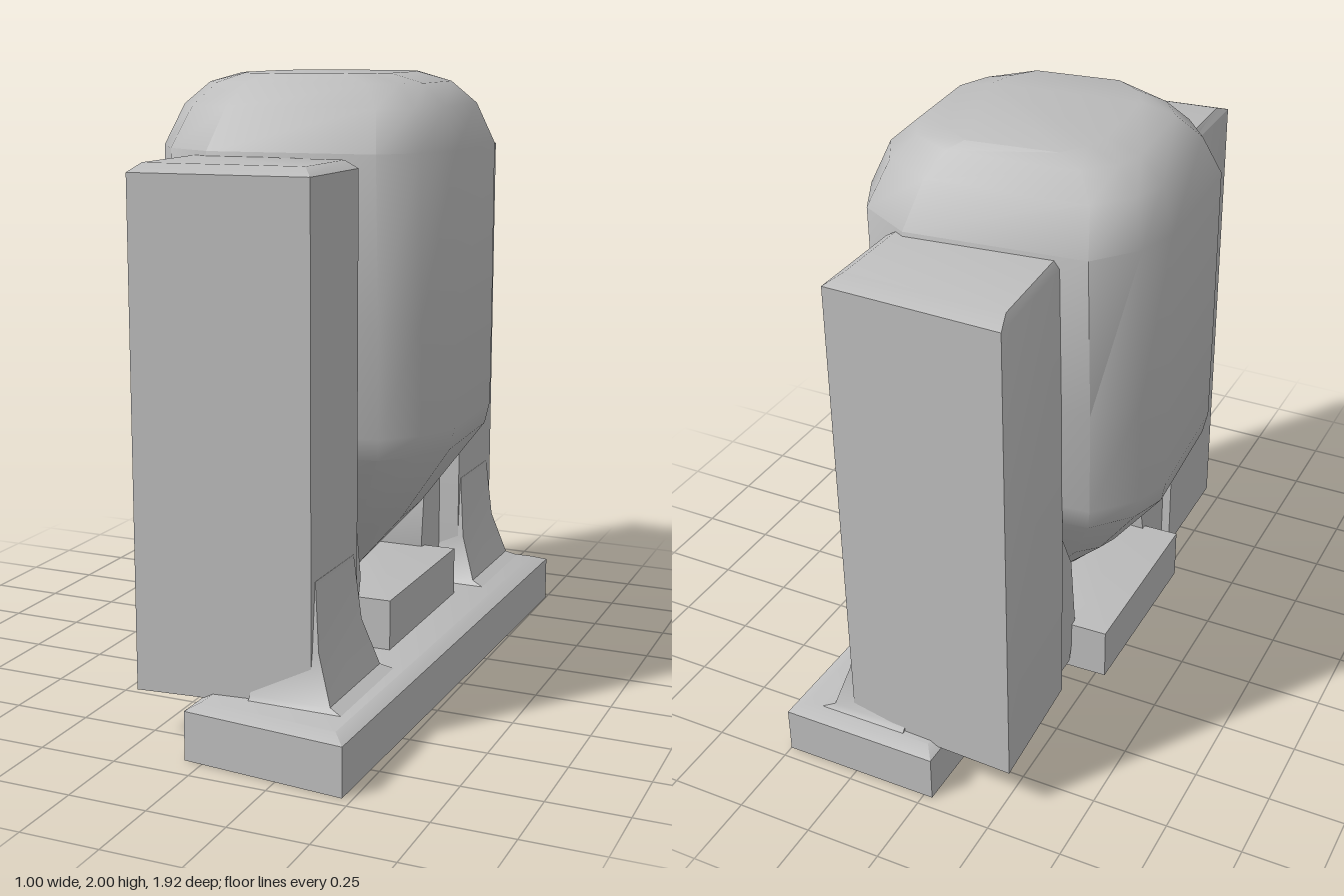
import * as THREE from 'three';
import { toCreasedNormals } from 'three/addons/utils/BufferGeometryUtils.js';

// Skin a stack of equal-length rings (anticlockwise seen from above), with caps
function loft(rings, crease = 0.6) {
  const n = rings[0].length, pos = [], idx = [];
  rings.forEach(r => r.forEach(p => pos.push(...p)));
  for (let k = 0; k < rings.length - 1; k++) {
    for (let i = 0; i < n; i++) {
      const a = k * n + i, b = k * n + (i + 1) % n;
      idx.push(a, b, b + n, a, b + n, a + n);
    }
  }
  const top = (rings.length - 1) * n;
  for (let i = 1; i < n - 1; i++) {
    idx.push(0, i + 1, i);
    idx.push(top, top + i, top + i + 1);
  }
  const g = new THREE.BufferGeometry();
  g.setAttribute('position', new THREE.Float32BufferAttribute(pos, 3));
  g.setIndex(idx);
  return toCreasedNormals(g, crease);
}

// Place a plan outline at height y, scaled about (cx, cz)
const ring = (plan, y, sx = 1, sz = sx, cx = 0, cz = 0) =>
  plan.map(([x, z]) => [cx + (x - cx) * sx, y, cz + (z - cz) * sz]);

export function createModel() {
  const model = new THREE.Group();
  const grey = new THREE.MeshStandardMaterial({ color: 0xbcbcbc });
  grey.name = 'stone grey';
  const add = (name, geometry) => {
    const mesh = new THREE.Mesh(geometry, grey);
    mesh.name = name;
    model.add(mesh);
    return mesh;
  };

  // Long offset base slab
  const slab = [[0.47, 0.96], [0.5, -0.96], [-0.03, -0.96], [-0.06, 0.91]];
  add('base', loft([ring(slab, 0), ring(slab, 0.155), ring(slab, 0.175, 0.85, 0.95, 0.2, 0)]));

  // Low pedestal under the tank
  const block = [[0.33, 0.24], [0.33, -0.38], [-0.36, -0.36], [-0.36, 0.26]];
  add('pedestal', loft([ring(block, 0.165), ring(block, 0.34), ring(block, 0.365, 0.4, 0.4, 0, -0.06)]));

  // Tank: rounded octagonal body, wedge-shaped bottom, domed top
  const body = [
    [0.5, 0.14], [0.48, -0.3], [0.4, -0.46], [0.22, -0.56], [-0.35, -0.5], [-0.46, -0.37],
    [-0.5, -0.24], [-0.47, 0.23], [-0.37, 0.37], [-0.2, 0.455], [0.34, 0.4], [0.44, 0.29],
  ];
  const levels = [ // height, x scale, z scale
    [0.35, 0.2, 0.08], [0.56, 0.58, 0.48], [0.83, 0.97, 0.92], [0.9, 1, 0.95],
    [1.25, 1, 0.96], [1.77, 0.99, 1], [1.9, 0.89, 0.81], [1.97, 0.73, 0.68], [2.0, 0.5, 0.62],
  ];
  add('tank', loft(levels.map(([y, sx, sz]) => ring(body, y, sx, sz, 0, -0.05)), 0.75));

  // Two tall columns with sloping caps
  const columns = {
    frontColumn: [[0.29, 0.77], [0.29, 0.42], [-0.27, 0.42], [-0.265, 0.825]],
    backColumn: [[0.29, -0.53], [0.29, -0.885], [-0.28, -0.905], [-0.26, -0.48]],
  };
  for (const [name, plan] of Object.entries(columns)) {
    const cz = name === 'frontColumn' ? 0.5 : -0.58;
    add(name, loft([ring(plan, 0.16), ring(plan, 1.73), ring(plan, 1.755, 0.9, 0.8, -0.1, cz)]));
  }

  // Curved inner supports: z faces the pedestal, outer edge sits in a column
  const supports = {
    frontSupport: [[0.2, 0.27, 0.45], [0.4, 0.22, 0.45], [0.6, 0.26, 0.45], [0.8, 0.39, 0.45]],
    backSupport: [[0.2, -0.55, -0.38], [0.35, -0.55, -0.34], [0.6, -0.55, -0.37], [0.8, -0.55, -0.47]],
  };
  for (const [name, rows] of Object.entries(supports)) {
    add(name, loft(rows.map(([y, z0, z1]) =>
      [[0.22, y, z1], [0.22, y, z0], [-0.24, y, z0], [-0.24, y, z1]])));
  }

  // Flared feet blending the columns into the base
  const feet = { frontFoot: [0.43, 0.76], backFoot: [-0.86, -0.53] };
  for (const [name, [z0, z1]] of Object.entries(feet)) {
    const rows = [[0.16, 0.44, 0.06], [0.19, 0.36, 0.03], [0.34, 0.31, 0], [0.55, 0.291, -0.02]];
    add(name, loft(rows.map(([y, x, d]) =>
      [[x, y, z1 + d], [x, y, z0 - d], [0.1, y, z0 - d], [0.1, y, z1 + d]]), 0.8));
  }

  return model;
}
